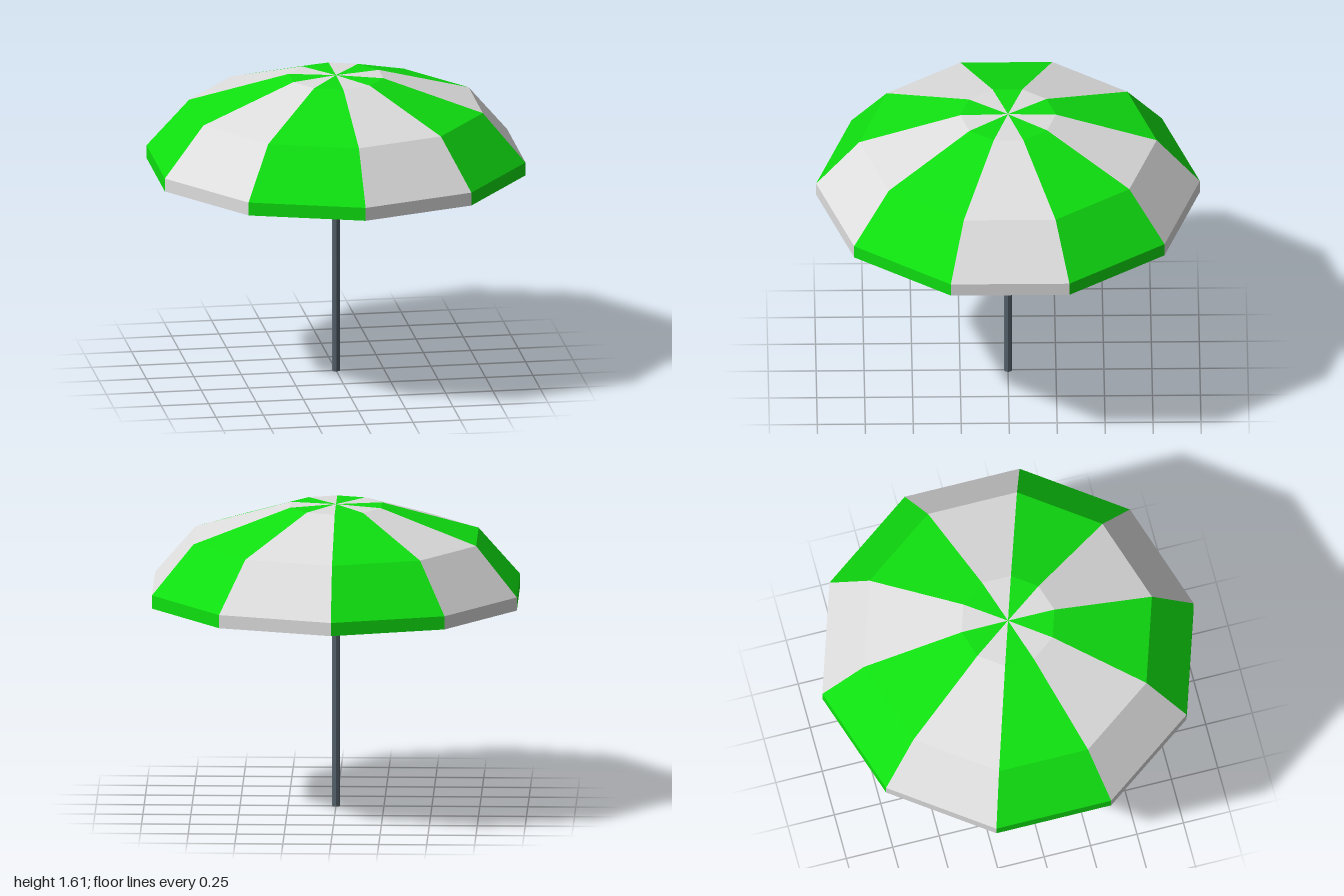
import * as THREE from 'three';

const SIDES = 10;

export function createModel() {
  const material = (name, color, extra = {}) =>
    new THREE.MeshStandardMaterial({ name, color, flatShading: true, ...extra });
  const white = material('white cloth', 0xdedede, { side: THREE.DoubleSide });
  const green = material('green cloth', 0x0fe010, { side: THREE.DoubleSide });
  const poleMetal = material('pole metal', 0x56626c);
  const frameMetal = material('frame metal', 0x585858);

  const model = new THREE.Group();
  model.name = 'parasol';

  const add = (parent, name, geometry, mat) => {
    const mesh = new THREE.Mesh(geometry, mat);
    mesh.name = name;
    parent.add(mesh);
    return mesh;
  };

  // Square bar between two points
  const bar = (parent, name, from, to, width) => {
    const along = to.clone().sub(from);
    const mesh = add(parent, name, new THREE.BoxGeometry(width, width, along.length()), frameMetal);
    mesh.position.copy(from).add(to).multiplyScalar(0.5);
    mesh.lookAt(to);
  };

  // Pole
  const pole = add(model, 'pole', new THREE.CylinderGeometry(0.022, 0.022, 1.595, 8), poleMetal);
  pole.position.y = 1.595 / 2;

  // Canopy panels in alternating colours, with an upright valance at the rim
  const profile = [[1, 1.107], [1, 1.177], [0.775, 1.435], [0.25, 1.6], [0, 1.605]]
    .map(([r, y]) => new THREE.Vector2(r, y));
  const canopy = new THREE.Group();
  canopy.name = 'canopy';
  model.add(canopy);
  const step = (Math.PI * 2) / SIDES;
  for (let i = 0; i < SIDES; i++) {
    const panel = new THREE.LatheGeometry(profile, 1, i * step, step).toNonIndexed();
    panel.computeVertexNormals();
    add(canopy, 'canopyPanel', panel, i % 2 ? green : white);
  }

  // Ribs to every corner, each held by a strut from the hub
  const frame = new THREE.Group();
  frame.name = 'frame';
  model.add(frame);
  for (let i = 0; i < SIDES; i++) {
    const at = (r, y) => new THREE.Vector3(r * Math.sin(i * step), y, r * Math.cos(i * step));
    bar(frame, 'rib', at(0.01, 1.575), at(0.975, 1.16), 0.026);
    bar(frame, 'strut', at(0.01, 1.17), at(0.49, 1.37), 0.022);
  }

  return model;
}
